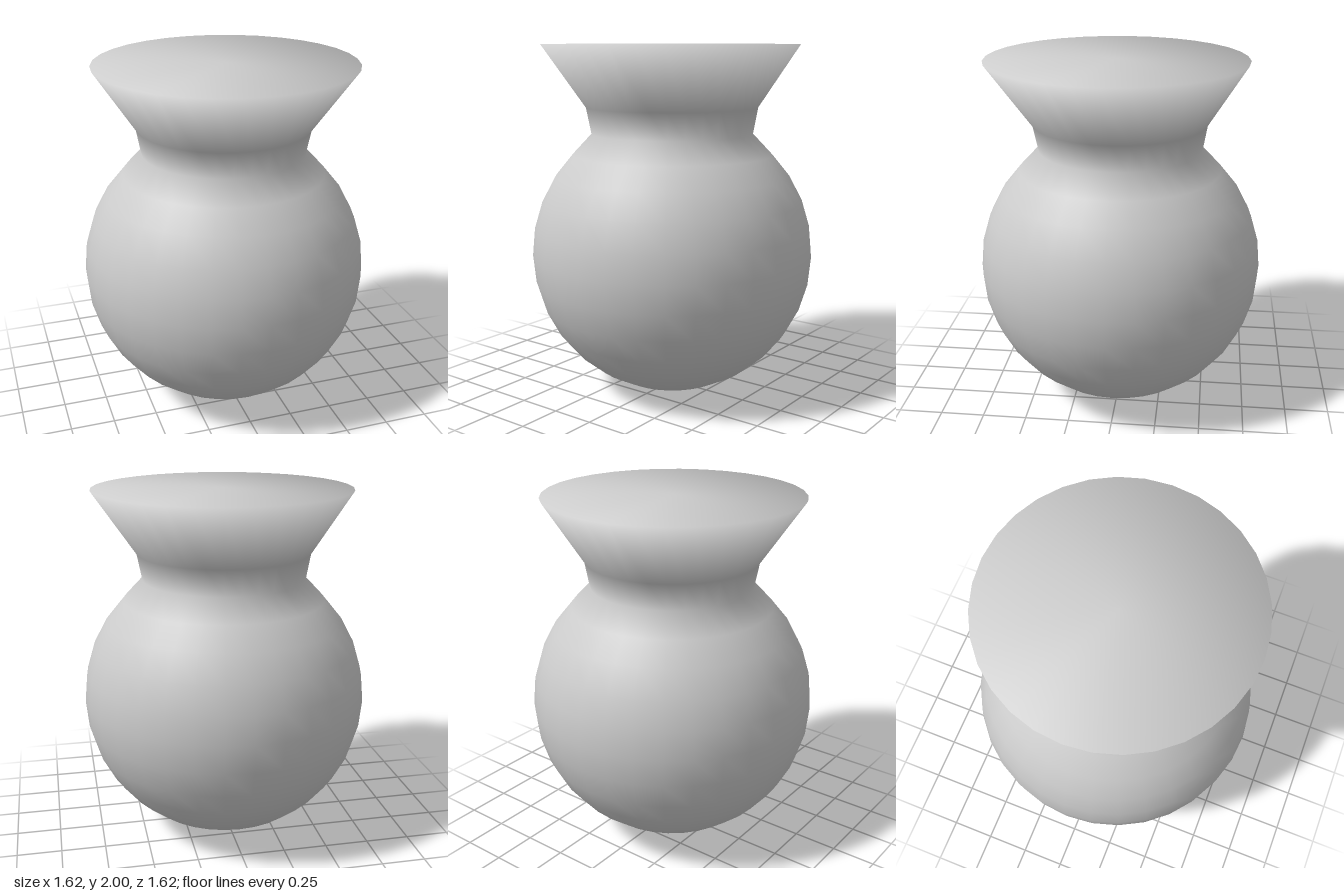
import * as THREE from 'three';

export function createModel() {
  const model = new THREE.Group();
  const R = 0.81;
  const profile = [];

  // Round body: rings of a 16-step sphere, stopping below the neck
  for (let i = 0; i <= 12; i++) {
    const a = (i * Math.PI) / 16;
    profile.push(new THREE.Vector2(R * Math.sin(a), R - R * Math.cos(a)));
  }

  // Neck, flared collar and flat closed top
  for (const [r, y] of [[0.462, 1.5], [0.49, 1.65], [0.725, 2], [0, 2]]) {
    profile.push(new THREE.Vector2(r, y));
  }

  const geometry = new THREE.LatheGeometry(profile, 32);

  // The collar leans very slightly off the axis towards its rim
  const p = geometry.attributes.position;
  for (let i = 0; i < p.count; i++) {
    const lean = Math.max(0, (p.getY(i) - 1.6) / 0.4);
    p.setX(i, p.getX(i) + 0.005 * lean);
    p.setZ(i, p.getZ(i) + 0.02 * lean);
  }

  const body = new THREE.Mesh(
    geometry,
    new THREE.MeshStandardMaterial({ color: 0xcccccc, side: THREE.DoubleSide })
  );
  body.name = 'flaredRoundVase';
  model.add(body);
  return model;
}
